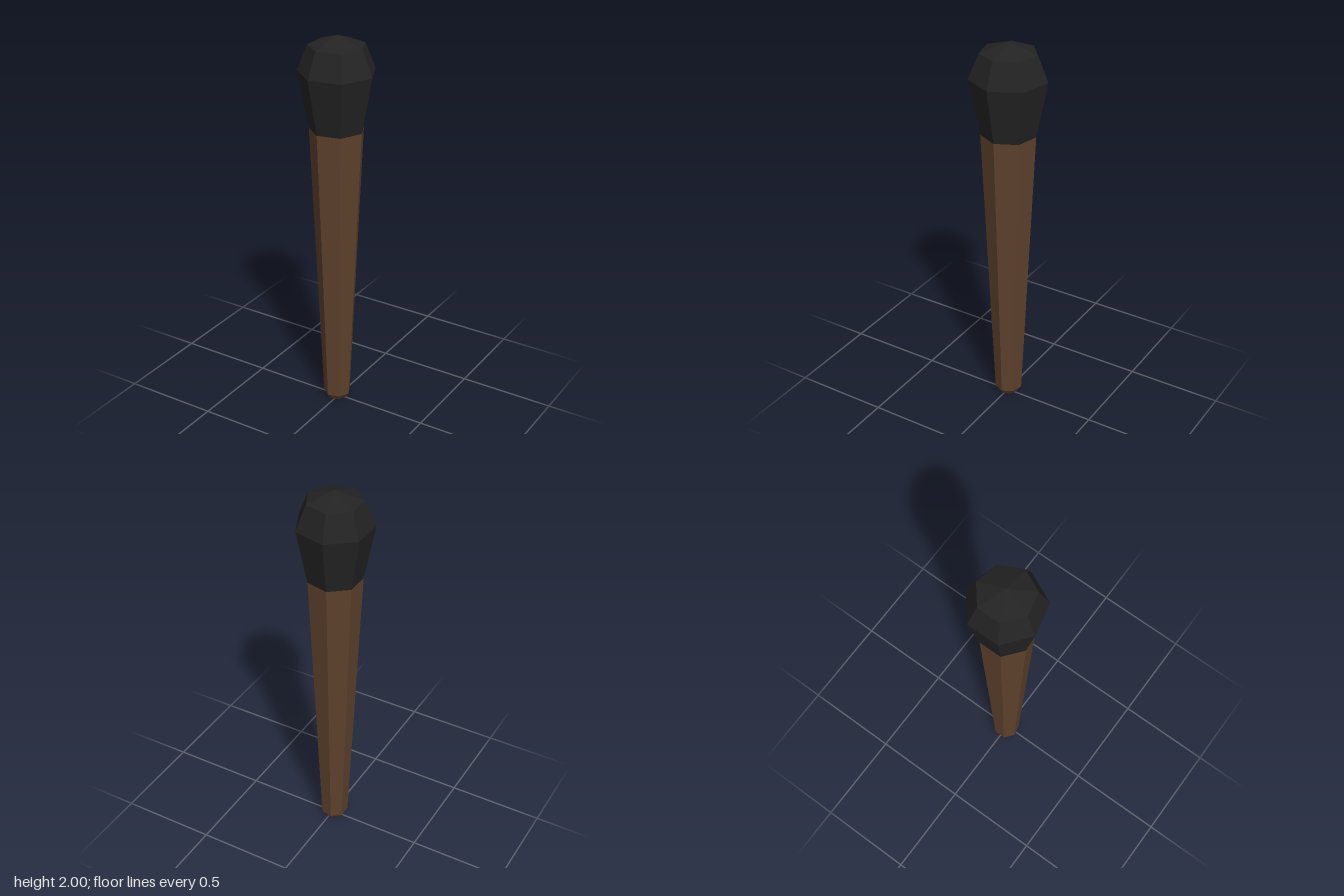
import * as THREE from 'three';

// Seven-sided lathe with hard facets; one corner points along +x
function facetedLathe(name, profile, material) {
  const points = profile.map(([r, y]) => new THREE.Vector2(r, y));
  const geometry = new THREE.LatheGeometry(points, 7, Math.PI / 2).toNonIndexed();
  geometry.computeVertexNormals();
  const mesh = new THREE.Mesh(geometry, material);
  mesh.name = name;
  mesh.position.x = -0.0097; // centres the uneven width of the heptagon
  return mesh;
}

export function createModel() {
  const wood = new THREE.MeshStandardMaterial({ color: 0x5e412c });
  wood.name = 'brown wood';
  const char = new THREE.MeshStandardMaterial({ color: 0x232323 });
  char.name = 'charred black';

  const model = new THREE.Group();
  model.name = 'torch';

  // Tapered handle with a chamfered foot
  model.add(facetedLathe('handle', [[0, 0], [0.05, 0], [0.071, 0.03], [0.139, 1.53]], wood));

  // Bulging head with a shallow pointed top
  model.add(facetedLathe('head', [[0.139, 1.53], [0.195, 1.82], [0.142, 1.95], [0, 2]], char));

  return model;
}
